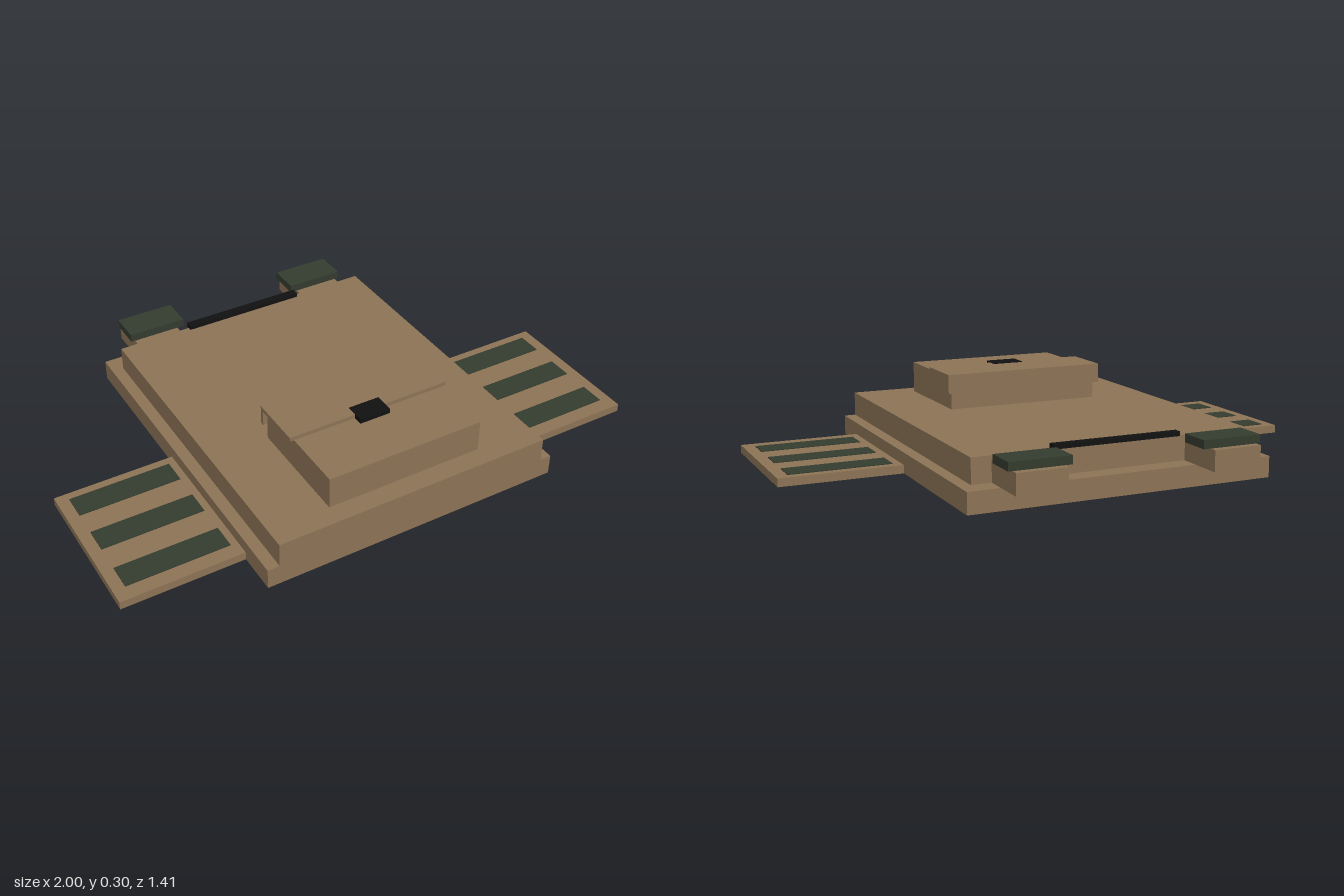
import * as THREE from 'three';

export function createModel() {
  const model = new THREE.Group();
  model.name = 'backpack';
  const mat = (name, color) => {
    const m = new THREE.MeshStandardMaterial({ color });
    m.name = name;
    return m;
  };
  const canvas = mat('tan canvas', 0x8b7355);
  const webbing = mat('dark green webbing', 0x343b2e);
  const hardware = mat('black hardware', 0x111111);

  // Box given by its extents on each axis
  const block = (name, material, [x0, x1], [y0, y1], [z0, z1], parent = model) => {
    const mesh = new THREE.Mesh(new THREE.BoxGeometry(x1 - x0, y1 - y0, z1 - z0), material);
    mesh.position.set((x0 + x1) / 2, (y0 + y1) / 2, (z0 + z1) / 2);
    mesh.name = name;
    parent.add(mesh);
    return mesh;
  };

  // Main body in two layers
  block('backPanel', canvas, [-0.56, 0.556], [0, 0.075], [-0.588, 0.705]);
  block('mainCompartment', canvas, [-0.517, 0.513], [0.075, 0.164], [-0.516, 0.705]);

  // Front pocket with a folded flap and buckle
  block('pocket', canvas, [-0.294, 0.29], [0.164, 0.281], [0.222, 0.633]);
  block('flapTop', canvas, [-0.31, 0.306], [0.281, 0.296], [0.207, 0.406]);
  block('flapEdge', canvas, [-0.31, 0.306], [0.225, 0.281], [0.207, 0.222]);
  block('buckle', hardware, [-0.06, 0.056], [0.281, 0.299], [0.367, 0.441]);

  // Carry handle bar
  block('handle', hardware, [-0.237, 0.233], [0.164, 0.18], [-0.53, -0.5]);

  for (const side of [-1, 1]) {
    const label = side < 0 ? 'right' : 'left';
    const span = (a, b) => (side < 0 ? [-b, -a] : [a, b]);

    // Strap stubs with padded covers
    const strap = new THREE.Group();
    strap.name = label + 'Strap';
    model.add(strap);
    block('strapBase', canvas, span(0.265, 0.442), [0.075, 0.149], [-0.705, -0.516], strap);
    block('strapPad', webbing, span(0.238, 0.457), [0.149, 0.179], [-0.678, -0.56], strap);

    // Side wings with three webbing strips
    const wing = new THREE.Group();
    wing.name = label + 'Wing';
    model.add(wing);
    block('wingPanel', canvas, span(0.556, 1), [0, 0.03], [0, 0.556], wing);
    for (const z of [0.079, 0.265, 0.456]) {
      block('webbingStrip', webbing, span(0.587, 0.957), [0.03, 0.033], [z - 0.046, z + 0.046], wing);
    }
  }
  return model;
}
